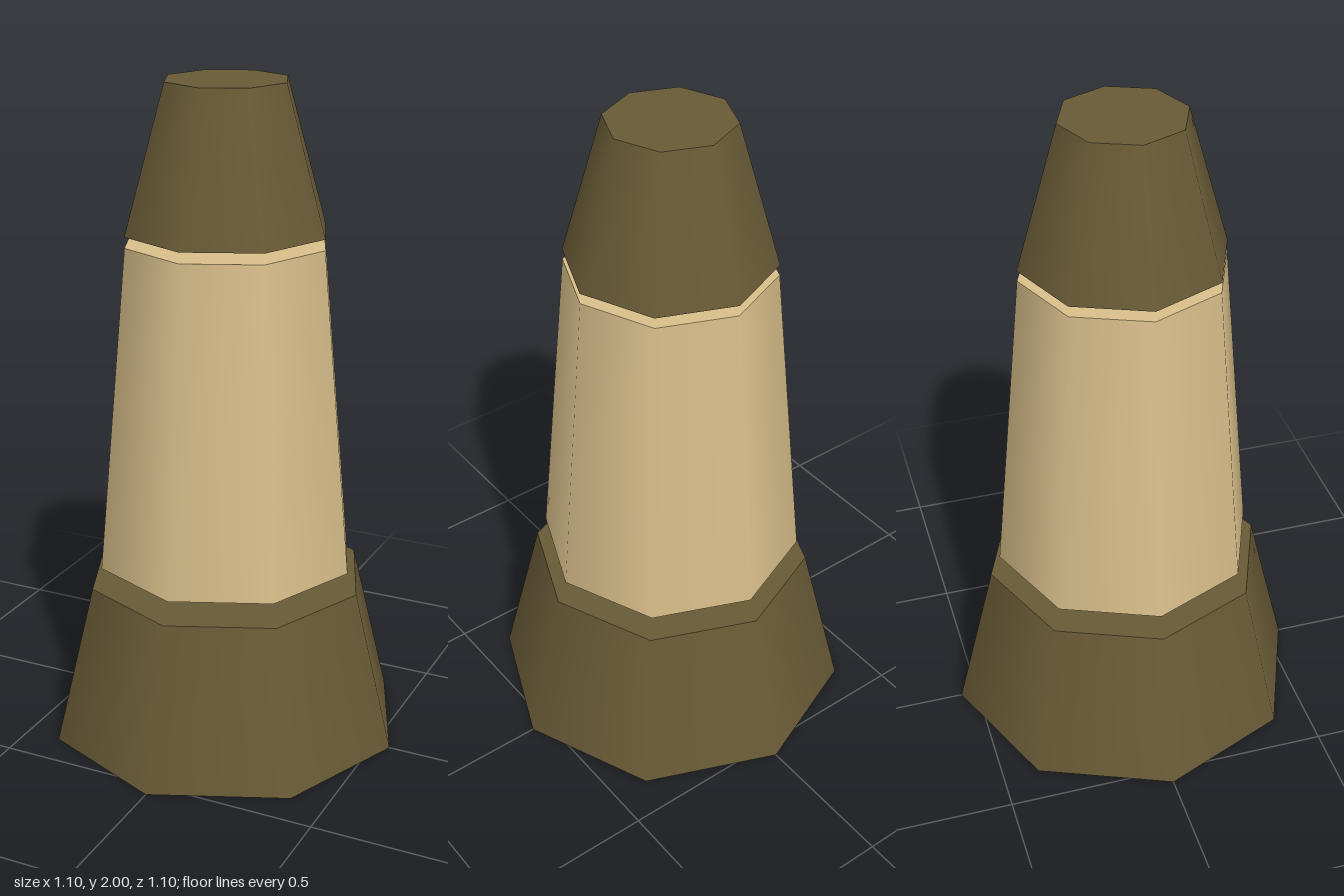
import * as THREE from 'three';

export function createModel() {
  const model = new THREE.Group();

  const olive = new THREE.MeshStandardMaterial({ color: 0x685a36 });
  olive.name = 'dark olive';
  const tan = new THREE.MeshStandardMaterial({ color: 0xd8be8a });
  tan.name = 'tan';

  // Closed eight-sided tapered section with smooth sides, from y0 up to y1
  function section(name, rBottom, rTop, y0, y1, material) {
    const mesh = new THREE.Mesh(new THREE.CylinderGeometry(rTop, rBottom, y1 - y0, 8), material);
    mesh.name = name;
    mesh.position.y = (y0 + y1) / 2;
    model.add(mesh);
  }

  // Three stacked sections separated by narrow gaps
  section('base', 0.552, 0.43, 0, 0.492, olive);
  section('body', 0.4, 0.308, 0.556, 1.538, tan);
  section('tip', 0.308, 0.185, 1.57, 2, olive);

  return model;
}
